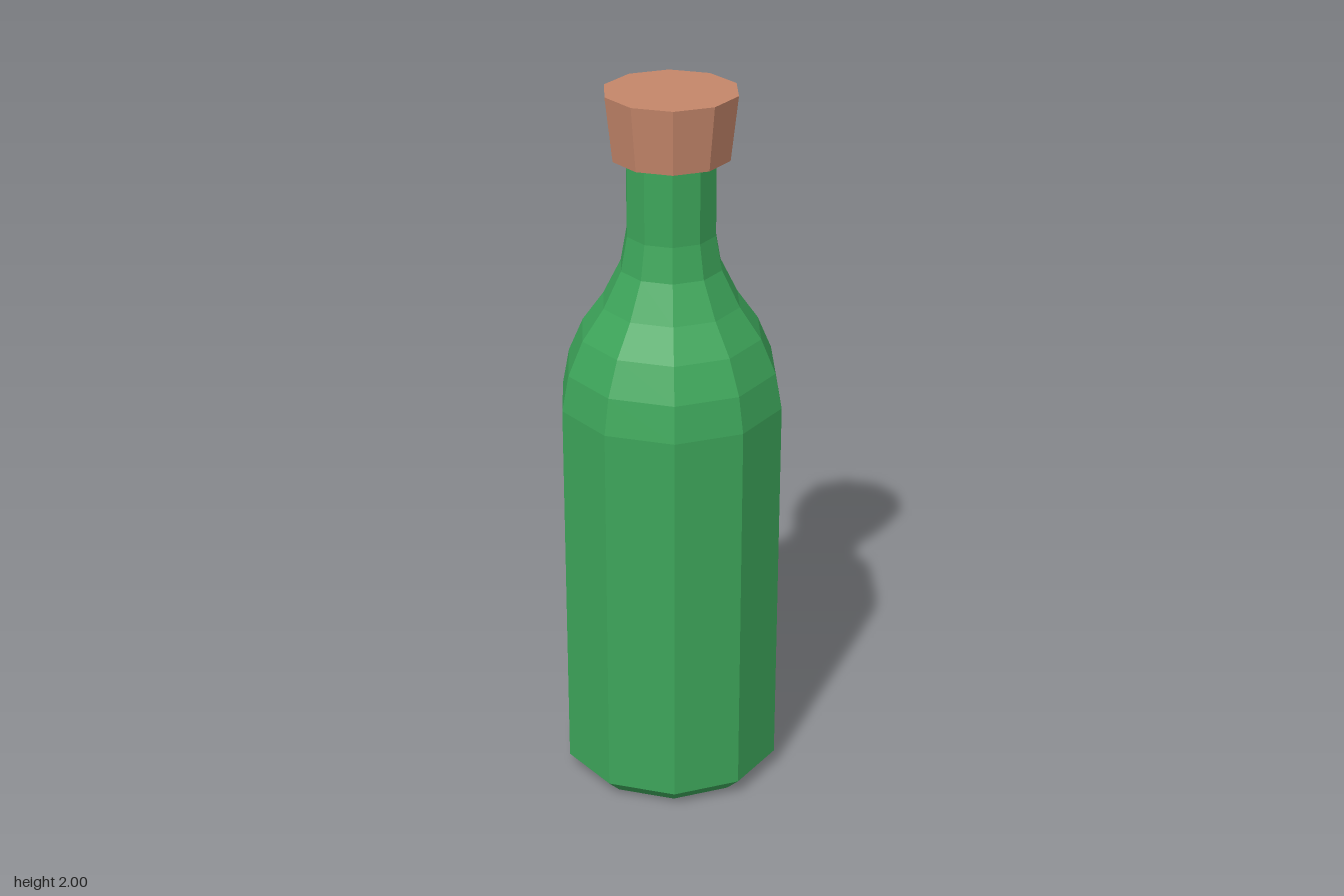
import * as THREE from 'three';

const SIDES = 10;

// Ten-sided faceted solid of revolution; profile runs bottom to top as [radius, height]
function facetedLathe(name, profile, material) {
  const points = profile.map(([r, y]) => new THREE.Vector2(r, y));
  const geometry = new THREE.LatheGeometry(points, SIDES).toNonIndexed();
  geometry.computeVertexNormals();
  const mesh = new THREE.Mesh(geometry, material);
  mesh.name = name;
  return mesh;
}

export function createModel() {
  const glass = new THREE.MeshStandardMaterial({ color: 0x3da55a });
  glass.name = 'greenGlass';
  const corkBrown = new THREE.MeshStandardMaterial({ color: 0xc4866a });
  corkBrown.name = 'corkBrown';

  const group = new THREE.Group();
  group.name = 'corkedBottle';

  // Bevelled base, straight body, curved shoulder and neck
  group.add(facetedLathe('bottle', [
    [0, 0], [0.262, 0], [0.31, 0.047],
    [0.31, 1.14], [0.291, 1.24], [0.25, 1.335], [0.19, 1.42],
    [0.14, 1.52], [0.123, 1.615], [0.123, 1.83],
  ], glass));

  // Stopper, widening towards the top
  group.add(facetedLathe('cork', [
    [0, 1.825], [0.16, 1.825], [0.18, 2], [0, 2],
  ], corkBrown));

  return group;
}
